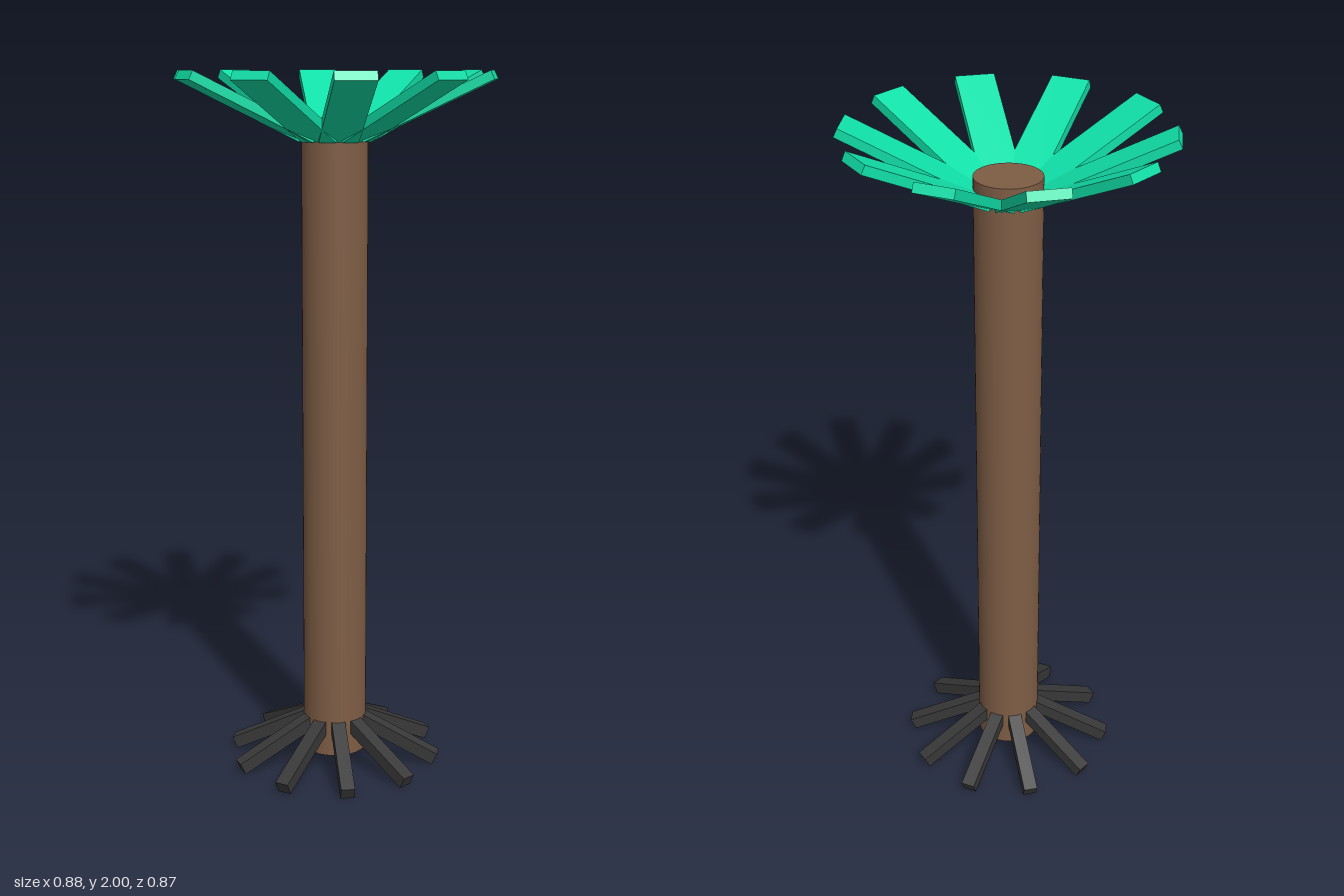
import * as THREE from 'three';

const mat = (name, color) => {
  const m = new THREE.MeshStandardMaterial({ color });
  m.name = name;
  return m;
};

// Ring of ten boxes sloping outward; start and end are [radius, y] of the box axis
function ring(name, start, end, thickness, width, material) {
  const group = new THREE.Group();
  group.name = name + 's';
  const dr = end[0] - start[0], dy = end[1] - start[1];
  const geometry = new THREE.BoxGeometry(Math.hypot(dr, dy), thickness, width);
  geometry.rotateZ(Math.atan2(dy, dr));
  geometry.translate((start[0] + end[0]) / 2, (start[1] + end[1]) / 2, 0);
  for (let i = 0; i < 10; i++) {
    const mesh = new THREE.Mesh(geometry, material);
    mesh.name = name;
    mesh.rotation.y = (i * Math.PI) / 5;
    group.add(mesh);
  }
  return group;
}

export function createModel() {
  const model = new THREE.Group();
  model.name = 'palmTree';
  const bark = mat('bark brown', 0x7e5d45);
  const leafGreen = mat('leaf green', 0x10e0a8);
  const rootGrey = mat('root dark grey', 0x383838);

  // Trunk from just above the ground to just above the leaf bases
  const trunk = new THREE.Mesh(new THREE.CylinderGeometry(0.092, 0.092, 1.835, 48), bark);
  trunk.name = 'trunk';
  trunk.position.y = 0.9525;
  model.add(trunk);

  // Leaves rise outward, roots slope down to the ground
  model.add(ring('leaf', [0.083, 1.821], [0.433, 1.988], 0.026, 0.109, leafGreen));
  model.add(ring('root', [0.07, 0.128], [0.303, 0.0165], 0.037, 0.04, rootGrey));
  return model;
}
